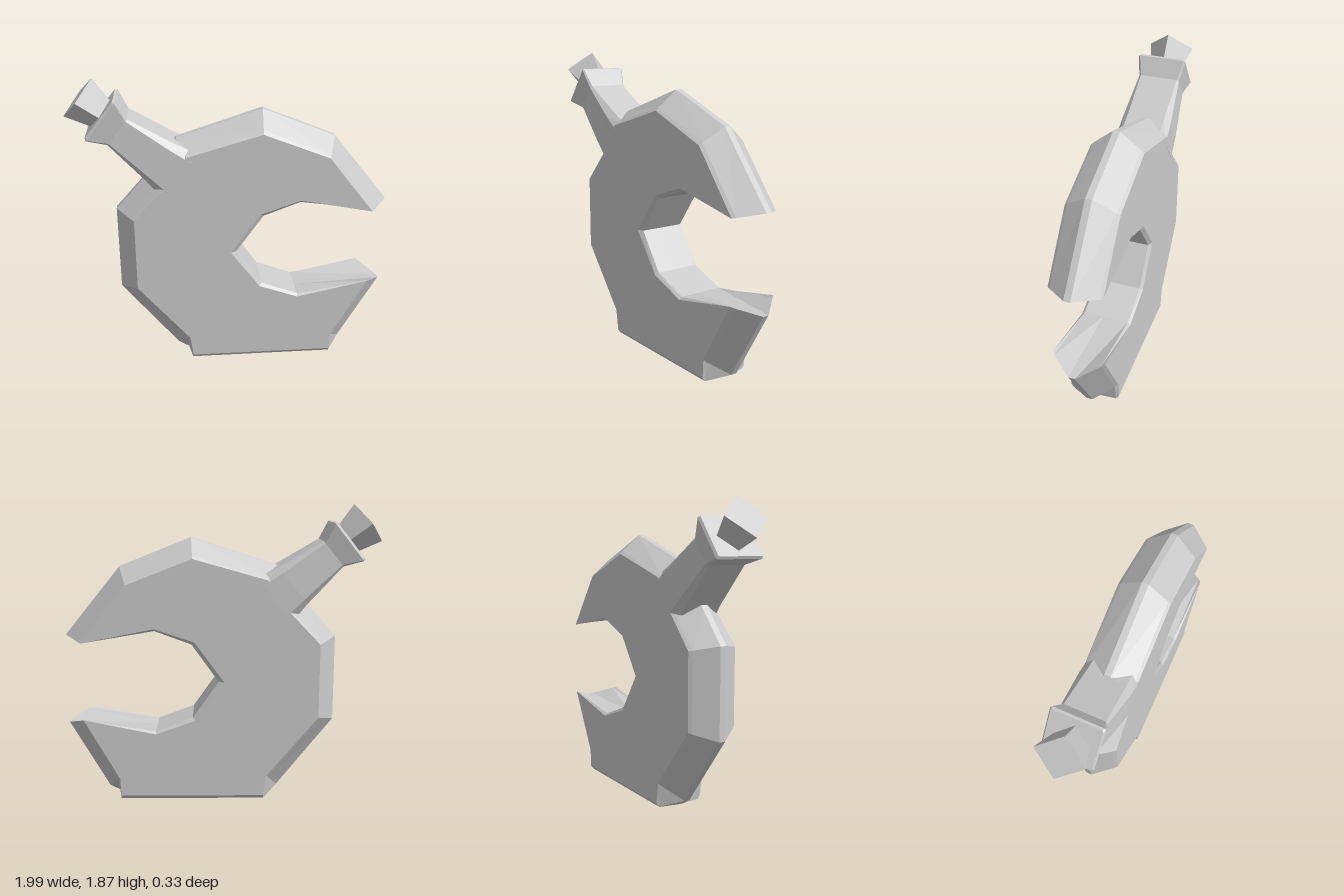
import * as THREE from 'three';

const grey = () => new THREE.MeshStandardMaterial({ color: 0xcccccc, flatShading: true });

// Skins counter-clockwise [x, y] rings, ordered from high z to low z, with caps on both ends
function loft(rings, zs) {
  const n = rings[0].length;
  const position = rings.flatMap((ring, r) => ring.flatMap(([x, y]) => [x, y, zs[r]]));
  const index = [];
  for (let r = 0; r < rings.length - 1; r++) {
    for (let i = 0; i < n; i++) {
      const j = (i + 1) % n;
      const a = r * n + i, b = r * n + j, c = a + n, d = b + n;
      index.push(a, c, d, a, d, b);
    }
  }
  const cap = (ring) => THREE.ShapeUtils.triangulateShape(ring.map((p) => new THREE.Vector2(...p)), []);
  const last = (rings.length - 1) * n;
  for (const [a, b, c] of cap(rings[0])) index.push(a, b, c);
  for (const [a, b, c] of cap(rings[rings.length - 1])) index.push(last + a, last + c, last + b);
  const geometry = new THREE.BufferGeometry();
  geometry.setAttribute('position', new THREE.Float32BufferAttribute(position, 3));
  geometry.setIndex(index);
  const flat = geometry.toNonIndexed();
  flat.computeVertexNormals();
  return flat;
}

function createBody() {
  // Outer edge: flat face corner, then the matching corner on the middle ridge
  const outerA = [
    [0.65, 0.025, 0.66, 0.005], [0.655, 0.14, 0.74, 0.04], [0.875, 0.535, 0.99, 0.48],
  ];
  const outerB = [
    [0.875, 1.03, 0.99, 1.06], [0.59, 1.39, 0.64, 1.49], [0.18, 1.55, 0.19, 1.67],
    [-0.28, 1.42, -0.34, 1.5], [-0.42, 1.22, -0.54, 1.25], [-0.61, 1.02, -0.72, 1.05],
    [-0.61, 0.55, -0.72, 0.5], [-0.285, 0.16, -0.36, 0.045], [-0.265, 0.025, -0.29, 0.005],
  ];
  // Mouth opening: flat face corner, then the corner inside the small chamfer
  const mouth = [
    [0.42, 0.44, 0.42, 0.455], [0.17, 0.53, 0.185, 0.545], [-0.015, 0.78, 0.02, 0.78],
    [0.17, 1.035, 0.19, 1.02], [0.42, 1.12, 0.42, 1.105],
  ];
  const blend = (t) => ([x, y, ridgeX, ridgeY]) => [x + (ridgeX - x) * t, y + (ridgeY - y) * t];
  const ring = (t, m) => [
    ...outerA.map(blend(t)), ...mouth.map(blend(m)), ...outerB.map(blend(t)),
  ];
  const face = ring(0, 0), shoulder = ring(0.15, 1), ridge = ring(1, 1);
  // The flat foot reaches the ground right up to the face chamfer
  for (const i of [0, face.length - 1]) { shoulder[i][1] = 0; ridge[i][1] = 0; }
  const geometry = loft(
    [face, shoulder, ridge, ridge, shoulder, face],
    [0.163, 0.145, 0.02, -0.02, -0.145, -0.163],
  );
  const body = new THREE.Mesh(geometry, grey());
  body.name = 'body';
  return body;
}

function createNeck() {
  // Eight-sided sections: [distance, face half width, half width, half depth, side half depth]
  const sections = [
    [0.54, 0.13, 0.138, 0.148, 0.14],
    [0.525, 0.138, 0.146, 0.157, 0.148],
    [0.41, 0.085, 0.098, 0.135, 0.122],
    [0.1, 0.105, 0.145, 0.16, 0.12],
    [-0.04, 0.118, 0.175, 0.164, 0.12],
  ];
  const rings = sections.map(([, f, w, d, s]) => [
    [w, -s], [w, s], [f, d], [-f, d], [-w, s], [-w, -s], [-f, -d], [f, -d],
  ]);
  const geometry = loft(rings, sections.map((s) => s[0])).rotateX(-Math.PI / 2);
  const neck = new THREE.Mesh(geometry, grey());
  neck.name = 'neck';
  return neck;
}

function createStopper() {
  // Tapered square plug standing on its corner
  const stopper = new THREE.Mesh(new THREE.CylinderGeometry(0.145, 0.09, 0.2, 4), grey());
  stopper.position.y = 0.6;
  stopper.name = 'stopper';
  return stopper;
}

export function createModel() {
  const model = new THREE.Group();
  model.name = 'flask';

  // Neck and stopper lean out of the upper right shoulder
  const spout = new THREE.Group();
  spout.name = 'spout';
  spout.position.set(-0.36, 1.32, 0);
  spout.rotation.z = 0.895;
  spout.add(createNeck(), createStopper());

  model.add(createBody(), spout);
  return model;
}
